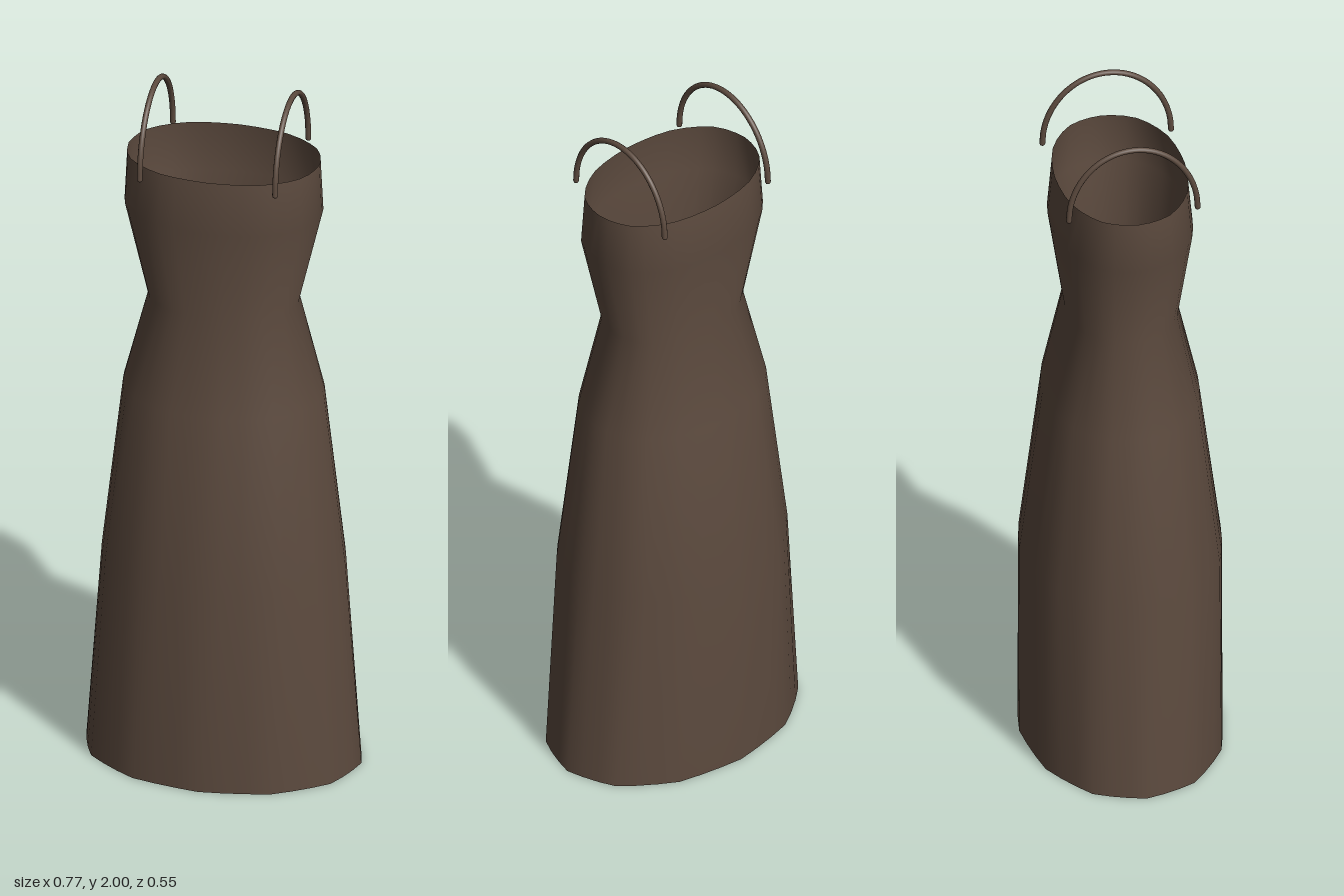
import * as THREE from 'three';
import { mergeVertices } from 'three/addons/utils/BufferGeometryUtils.js';

// Cross-sections from the neckline down to the hem:
// height, half width, half depth, squareness, fold depth
const RINGS = [
  [1.8, 0.265, 0.178, 2.2, 0.004],
  [1.65, 0.272, 0.192, 2.2, 0.004],
  [1.375, 0.206, 0.151, 2.3, 0.006],
  [1.1, 0.277, 0.212, 2.1, 0.008],
  [0.6, 0.335, 0.274, 2.05, 0.01],
  [0, 0.379, 0.274, 2.05, 0.012],
];
const SEGMENTS = 36;
const FOLDS = 12;

// Open shell lofted through the rings, with shallow vertical folds
function bodyGeometry() {
  const rows = RINGS.length - 1;
  const tube = new THREE.CylinderGeometry(1, 1, 1, SEGMENTS, rows, true);
  const pos = tube.attributes.position;
  for (let i = 0; i < pos.count; i++) {
    const [y, rx, rz, power, fold] = RINGS[Math.round((0.5 - pos.getY(i)) * rows)];
    const s = pos.getX(i), c = pos.getZ(i);
    const round = (Math.abs(s) ** power + Math.abs(c) ** power) ** (-1 / power);
    const r = round * (1 + fold * Math.cos(FOLDS * Math.atan2(s, c)));
    pos.setXYZ(i, rx * r * s, y, rz * r * c);
  }
  // weld the seam so the shading stays smooth all round
  tube.deleteAttribute('uv');
  tube.deleteAttribute('normal');
  const geometry = mergeVertices(tube);
  geometry.computeVertexNormals();
  return geometry;
}

// Thin arched strap running front to back over one shoulder
function makeStrap(material) {
  const radius = 0.008, halfDepth = 0.177, base = 1.785, rise = 0.207;
  const points = [];
  for (let i = 0; i <= 16; i++) {
    const a = (i / 16) * Math.PI;
    points.push(new THREE.Vector3(0, base + rise * Math.sin(a), halfDepth * Math.cos(a)));
  }
  const strap = new THREE.Group();
  const arch = new THREE.Mesh(
    new THREE.TubeGeometry(new THREE.CatmullRomCurve3(points), 40, radius, 10), material);
  arch.name = 'strapArch';
  strap.add(arch);
  for (const side of [-1, 1]) {
    const end = new THREE.Mesh(new THREE.SphereGeometry(radius, 10, 8), material);
    end.name = 'strapEnd';
    end.position.set(0, base, side * halfDepth);
    strap.add(end);
  }
  return strap;
}

export function createModel() {
  const fabric = new THREE.MeshStandardMaterial({ color: 0x5c4a3e, side: THREE.DoubleSide });
  fabric.name = 'brownFabric';

  const dress = new THREE.Group();
  dress.name = 'dress';

  const body = new THREE.Mesh(bodyGeometry(), fabric);
  body.name = 'dressBody';
  dress.add(body);

  for (const [name, x] of [['leftStrap', 0.189], ['rightStrap', -0.189]]) {
    const strap = makeStrap(fabric);
    strap.name = name;
    strap.position.x = x;
    dress.add(strap);
  }
  return dress;
}
